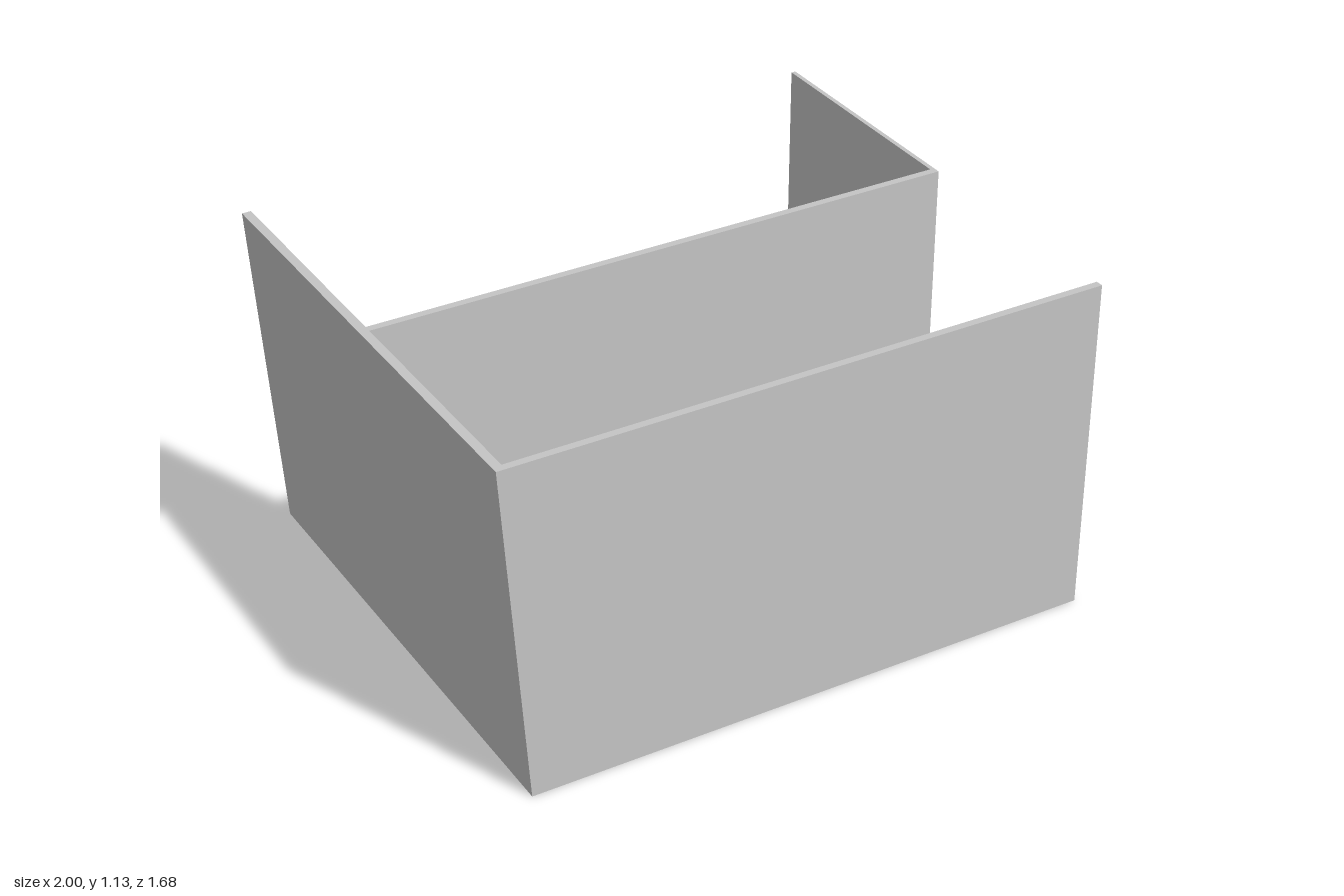
import * as THREE from 'three';

const H = 1.13, D = 0.84;            // height and half depth
const FLOOR = 0.02, PANEL = 0.025, WALL = 0.03, SIDE = 0.015;
const outerX = (y) => -0.92 - 0.08 * y / H;   // slanted side, outer face
const innerX = (y) => outerX(y) + WALL;       // slanted side, inner face

export function createModel() {
  const group = new THREE.Group();
  const grey = new THREE.MeshStandardMaterial({ color: 0xc4c4c4 });
  grey.name = 'light grey';

  // Extrudes an x-y outline from z0 to z1
  function slab(name, points, z0, z1) {
    const shape = new THREE.Shape(points.map(([x, y]) => new THREE.Vector2(x, y)));
    const geo = new THREE.ExtrudeGeometry(shape, { depth: z1 - z0, bevelEnabled: false });
    geo.translate(0, 0, z0);
    const mesh = new THREE.Mesh(geo, grey);
    mesh.name = name;
    group.add(mesh);
  }

  // Outline between two heights, from a slanted edge to x1
  const outline = (edge, x1, y0, y1) => [[edge(y0), y0], [x1, y0], [x1, y1], [edge(y1), y1]];

  // Front panel covers the full width
  slab('frontPanel', outline(outerX, 1, 0, H), D - PANEL, D);

  // Slanted side wall runs behind the front panel to the back
  slab('slantedWall', [[outerX(0), 0], [innerX(0), 0], [innerX(H), H], [outerX(H), H]], -D, D - PANEL);

  // Floor under both compartments
  slab('floor', outline(innerX, 1, 0, FLOOR), -D, D - PANEL);

  // Divider between the front and back compartments
  slab('divider', outline(innerX, 1, FLOOR, H), -PANEL, 0);

  // Upright wall closing the side of the back compartment
  slab('uprightWall', outline(() => 1 - SIDE, 1, FLOOR, H), -D, -PANEL);

  return group;
}
